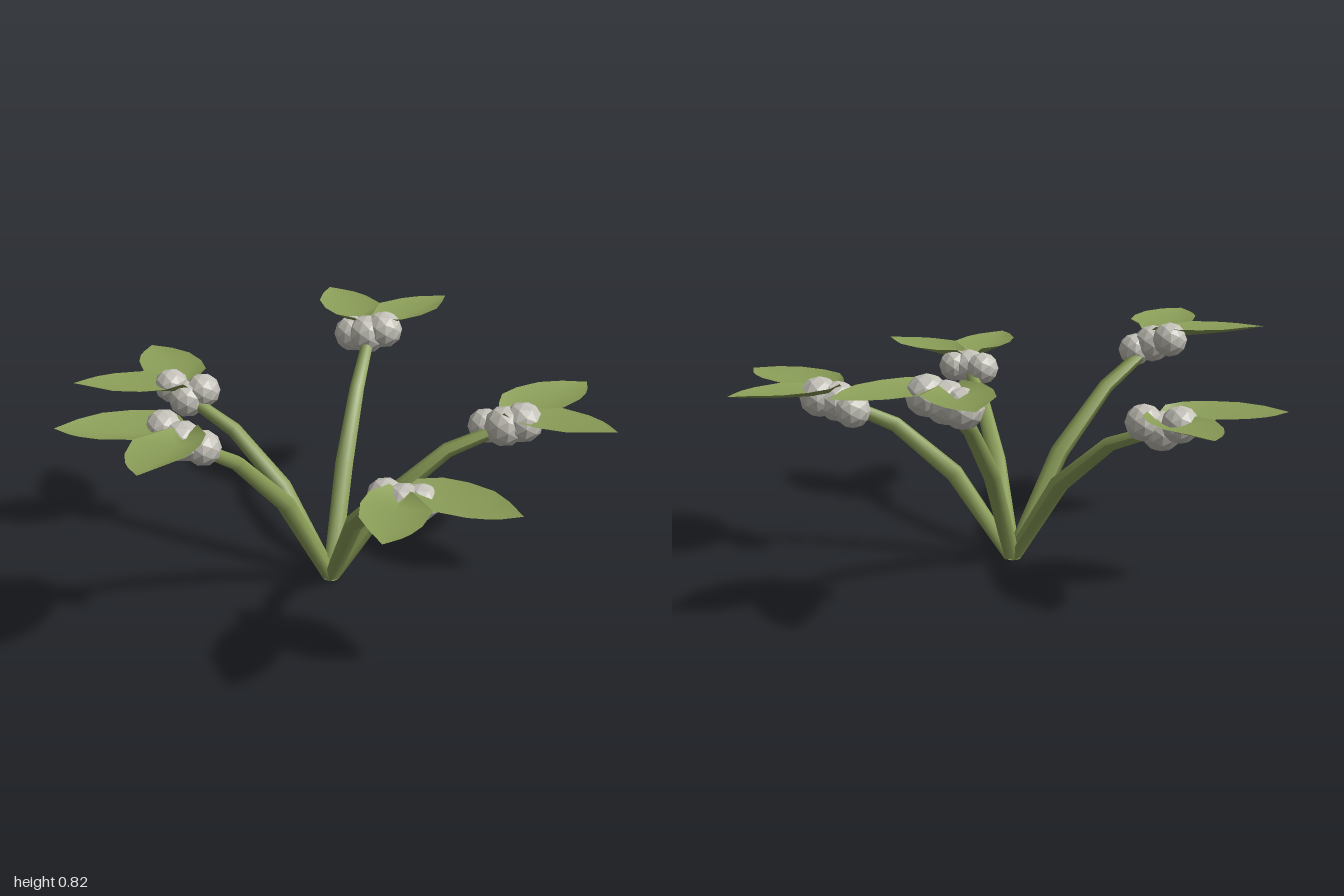
import * as THREE from 'three';

const green = new THREE.MeshStandardMaterial({ color: 0x8b9e58, side: THREE.DoubleSide });
green.name = 'leaf green';
const pale = new THREE.MeshStandardMaterial({ color: 0xc2c0b7, flatShading: true });
pale.name = 'berry white';

// Five branches, 72 degrees apart: tip height and three berries as [x, y, z, radius]
const branches = [
  { high: false, berries: [[0.54, 0.565, -0.06, 0.065], [0.6, 0.585, -0.005, 0.075], [0.665, 0.6, 0, 0.075]] },
  { high: false, berries: [[0.11, 0.59, 0.545, 0.063], [0.165, 0.585, 0.595, 0.07], [0.22, 0.59, 0.595, 0.063]] },
  { high: true, berries: [[-0.6, 0.755, 0.312, 0.065], [-0.54, 0.73, 0.365, 0.07], [-0.475, 0.705, 0.37, 0.062]] },
  { high: false, berries: [[-0.592, 0.615, -0.42, 0.065], [-0.535, 0.58, -0.37, 0.07], [-0.475, 0.61, -0.375, 0.065]] },
  { high: true, berries: [[0.11, 0.72, -0.65, 0.07], [0.165, 0.73, -0.61, 0.075], [0.227, 0.75, -0.6, 0.072]] },
];

// Tapered bent stem: rings of a cylinder moved onto a path in the x-y plane
function stemGeometry(path) {
  const sides = 6, rings = path.length - 1;
  const geo = new THREE.CylinderGeometry(1, 1, rings, sides, rings, false);
  const pos = geo.attributes.position;
  for (let i = 0; i < pos.count; i++) {
    const k = Math.round(pos.getY(i) + rings / 2);
    const [x, y, radius] = path[k];
    const a = path[Math.max(k - 1, 0)], b = path[Math.min(k + 1, rings)];
    // the foot ring lies flat on the ground
    const tilt = k === 0 ? 0 : Math.atan2(b[0] - a[0], b[1] - a[1]);
    const u = pos.getX(i) * radius, w = pos.getZ(i) * radius;
    pos.setXYZ(i, x + u * Math.cos(tilt), y - u * Math.sin(tilt), w);
  }
  geo.computeVertexNormals();
  return geo;
}

// Cupped leaf: rows of outer edge, midrib and inner edge between base and tip
function leafGeometry(side, y) {
  const base = [0.6, 0], tip = [0.974, 0.238];
  const outer = [[0.61, 0.05], [0.635, 0.13], [0.7, 0.19], [0.79, 0.235], [0.88, 0.242]];
  const inner = [[0.68, 0], [0.83, 0], [0.91, 0.075], [0.945, 0.13], [0.96, 0.17]];
  const ribAt = [0.15, 0.3, 0.5, 0.7, 0.85];
  const verts = [base[0], y - 0.03, 0];
  ribAt.forEach((t, i) => {
    const rx = base[0] + (tip[0] - base[0]) * t, rz = tip[1] * t;
    const dip = 0.035 * (1 - t * t);
    verts.push(outer[i][0], y + 0.008, outer[i][1] * side);
    verts.push(rx, y - dip, rz * side);
    verts.push(inner[i][0], y, inner[i][1] * side);
  });
  verts.push(tip[0], y + 0.002, tip[1] * side);
  const last = verts.length / 3 - 1;
  const faces = [[0, 1, 2], [0, 2, 3]];
  for (let r = 0; r < ribAt.length - 1; r++) {
    for (let c = 0; c < 2; c++) {
      const a = 1 + r * 3 + c;
      faces.push([a, a + 3, a + 1], [a + 1, a + 3, a + 4]);
    }
  }
  faces.push([last - 3, last, last - 2], [last - 2, last, last - 1]);
  const geo = new THREE.BufferGeometry();
  geo.setAttribute('position', new THREE.Float32BufferAttribute(verts, 3));
  // keep the upper side as the front on both mirrored leaves
  geo.setIndex(faces.flatMap(([a, b, c]) => (side > 0 ? [a, b, c] : [a, c, b])));
  geo.computeVertexNormals();
  return geo;
}

function add(parent, name, geometry, material) {
  const mesh = new THREE.Mesh(geometry, material);
  mesh.name = name;
  parent.add(mesh);
  return mesh;
}

export function createModel() {
  const model = new THREE.Group();
  model.name = 'berryPlant';
  branches.forEach(({ high, berries }, i) => {
    const branch = new THREE.Group();
    branch.name = `branch${i + 1}`;
    branch.position.x = -0.025;
    branch.rotation.y = -i * Math.PI * 2 / 5;
    model.add(branch);

    const heights = high ? [0, 0.37, 0.59, 0.72] : [0, 0.32, 0.5, 0.585];
    const reach = [0, 0.21, 0.42, 0.625], radii = [0.032, 0.034, 0.028, 0.022];
    add(branch, 'stem', stemGeometry(heights.map((y, k) => [reach[k], y, radii[k]])), green);
    for (const side of [1, -1]) {
      add(branch, side > 0 ? 'leafA' : 'leafB', leafGeometry(side, high ? 0.793 : 0.65), green);
    }

    // Berry cluster at the stem tip
    const cluster = new THREE.Group();
    cluster.name = `berries${i + 1}`;
    model.add(cluster);
    berries.forEach(([x, y, z, r]) => {
      add(cluster, 'berry', new THREE.IcosahedronGeometry(r, 1), pale).position.set(x, y, z);
    });
  });
  return model;
}
